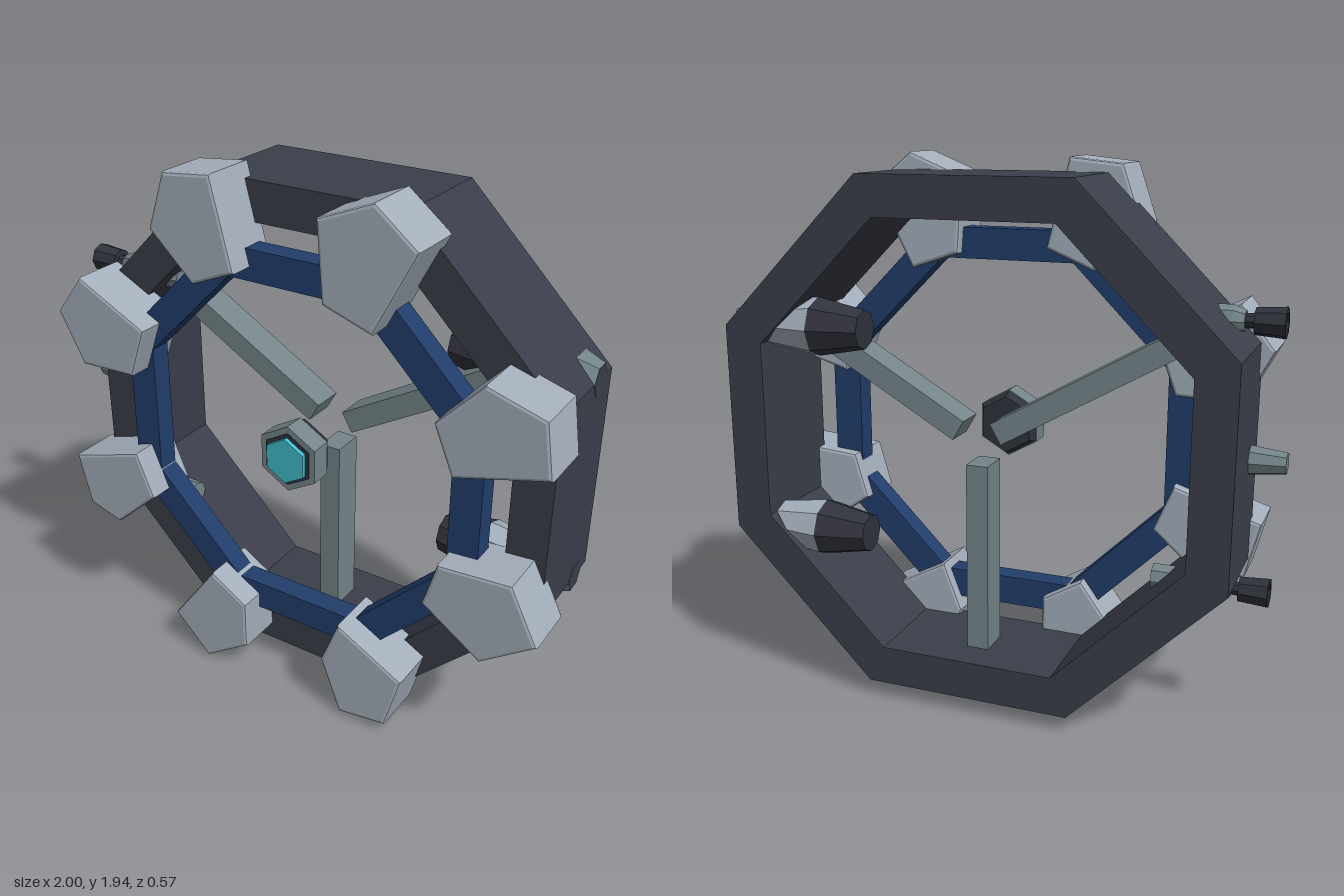
import * as THREE from 'three';

const CX = 0.03, CY = 0.97;

function mat(name, color, opts = {}) {
  const m = new THREE.MeshStandardMaterial({ color, flatShading: true, ...opts });
  m.name = name;
  return m;
}

export function createModel() {
  const model = new THREE.Group();
  model.name = 'octagonalRingStation';
  const slate = mat('slate', 0x3a3e4a);
  const navy = mat('navy', 0x213d6b);
  const paleGrey = mat('paleGrey', 0xa4aebb);
  const steel = mat('steel', 0x74858a);
  const charcoal = mat('charcoal', 0x30323c, { side: THREE.DoubleSide });
  const cyan = mat('cyan', 0x40bccb);

  const add = (name, geo, material, x = 0, y = 0, z = 0, parent = model) => {
    const mesh = new THREE.Mesh(geo, material);
    mesh.name = name;
    mesh.position.set(x, y, z);
    parent.add(mesh);
    return mesh;
  };

  // Octagon corners for a given distance from centre to flat side
  const octagon = (apothem) => Array.from({ length: 8 }, (_, i) => {
    const a = Math.PI / 8 + i * Math.PI / 4, r = apothem / Math.cos(Math.PI / 8);
    return new THREE.Vector2(r * Math.cos(a), r * Math.sin(a));
  });
  const ring = (name, outer, inner, z0, z1, material) => {
    const shape = new THREE.Shape(octagon(outer));
    shape.holes.push(new THREE.Path(octagon(inner).reverse()));
    const geo = new THREE.ExtrudeGeometry(shape, { depth: z1 - z0, bevelEnabled: false });
    add(name, geo, material, CX, CY, z0);
  };
  ring('outerRing', 0.91, 0.77, -0.283, 0.12, slate);
  ring('innerRing', 0.71, 0.6, 0.12, 0.2, navy);

  // Tapered prism lying along x, from x0 (radius r0) to x1 (radius r1)
  const alongX = (name, x0, x1, r0, r1, sides, material, y, z, parent, open = false) => {
    const geo = new THREE.CylinderGeometry(r1, r0, x1 - x0, sides, 1, open).rotateZ(-Math.PI / 2);
    return add(name, geo, material, (x0 + x1) / 2, y, z, parent);
  };
  // Hexagonal prism facing z
  const hex = (name, r0, r1, z0, z1, material) => {
    const geo = new THREE.CylinderGeometry(r1, r0, z1 - z0, 6).rotateX(Math.PI / 2);
    add(name, geo, material, CX, CY, (z0 + z1) / 2);
  };

  // Irregular five-sided blocks clamped over the ring corners
  const blocks = [
    [-.40, 1.91, -.21, 1.93, -.13, 1.62, -.30, 1.55, -.47, 1.71],
    [.18, 1.86, .38, 1.94, .53, 1.82, .38, 1.53, .20, 1.59],
    [.76, 1.47, .96, 1.41, .99, 1.22, .67, 1.13, .60, 1.30],
    [.64, .80, .90, .82, 1.0, .62, .81, .48, .59, .63],
    [.27, .40, .53, .26, .47, .04, .28, .01, .20, .22],
    [-.28, .41, -.13, .32, -.13, .13, -.32, .00, -.47, .15],
    [-.61, .82, -.54, .65, -.73, .48, -.87, .52, -.92, .72],
    [-.81, 1.47, -.53, 1.33, -.60, 1.14, -.83, 1.13, -.93, 1.32],
  ];
  const bevel = 0.012;
  blocks.forEach((p, i) => {
    const pts = [];
    for (let k = 0; k < p.length; k += 2) pts.push(new THREE.Vector2(p[k], p[k + 1]));
    const geo = new THREE.ExtrudeGeometry(new THREE.Shape(pts), {
      depth: 0.21 - 2 * bevel, bevelSize: bevel, bevelThickness: bevel,
      bevelOffset: -bevel, bevelSegments: 2,
    });
    add(`cornerBlock${i + 1}`, geo, paleGrey, 0, 0, 0.08 + bevel);
  });

  // Three spokes, set behind the hub
  [30, 150, 270].forEach((deg, i) => {
    const geo = new THREE.BoxGeometry(0.71, 0.08, 0.12).translate(0.435, 0, 0);
    const spoke = add(`spoke${i + 1}`, geo, steel, CX, CY, -0.1);
    spoke.rotation.z = THREE.MathUtils.degToRad(deg);
  });

  // Hub with glowing core
  hex('hubBack', 0.105, 0.12, 0.12, 0.15, charcoal);
  hex('hubBody', 0.125, 0.125, 0.15, 0.23, steel);
  hex('hubBezel', 0.1, 0.1, 0.229, 0.234, charcoal);
  hex('hubCore', 0.085, 0.085, 0.23, 0.25, cyan);

  for (const s of [1, -1]) {
    const side = s > 0 ? 'upper' : 'lower';
    // Thrusters on the left side, nozzles pointing inward
    const thruster = new THREE.Group();
    thruster.name = side + 'Thruster';
    model.add(thruster);
    const ty = CY + s * 0.375, tz = -0.18;
    alongX('nozzle', 0.44, 0.62, 0.07, 0.105, 8, charcoal, ty, tz, thruster);
    alongX('thrusterBody', 0.62, 0.84, 0.105, 0.075, 8, paleGrey, ty, tz, thruster);
    alongX('thrusterMount', 0.83, 0.942, 0.1, 0.055, 6, steel, ty, tz, thruster, true);
    alongX('mountCap', 0.936, 0.941, 0.055, 0.055, 6, slate, ty, tz, thruster);

    // Barrels on the right side, hollow muzzles pointing outward
    const barrel = new THREE.Group();
    barrel.name = side + 'Barrel';
    model.add(barrel);
    const by = CY + s * 0.46;
    alongX('barrelBody', -0.8, -0.57, 0.05, 0.05, 8, steel, by, 0, barrel);
    alongX('barrelCollar', -0.84, -0.8, 0.035, 0.05, 8, steel, by, 0, barrel);
    alongX('barrelNeck', -0.89, -0.83, 0.025, 0.025, 8, charcoal, by, 0, barrel);
    alongX('muzzle', -0.97, -0.87, 0.052, 0.045, 8, charcoal, by, 0, barrel, true);
    alongX('bore', -0.97, -0.89, 0.034, 0.034, 8, charcoal, by, 0, barrel, true);
    alongX('boreFloor', -0.9, -0.87, 0.045, 0.045, 8, charcoal, by, 0, barrel);
    const rim = new THREE.RingGeometry(0.034, 0.052, 8).rotateY(-Math.PI / 2);
    add('muzzleRim', rim, charcoal, -0.97, by, 0, barrel);
  }

  // Middle peg through the right wall
  alongX('pegTip', -1.0, -0.87, 0.037, 0.052, 8, steel, CY, 0);
  alongX('pegFlange', -0.75, -0.725, 0.06, 0.06, 8, steel, CY, 0);

  return model;
}
